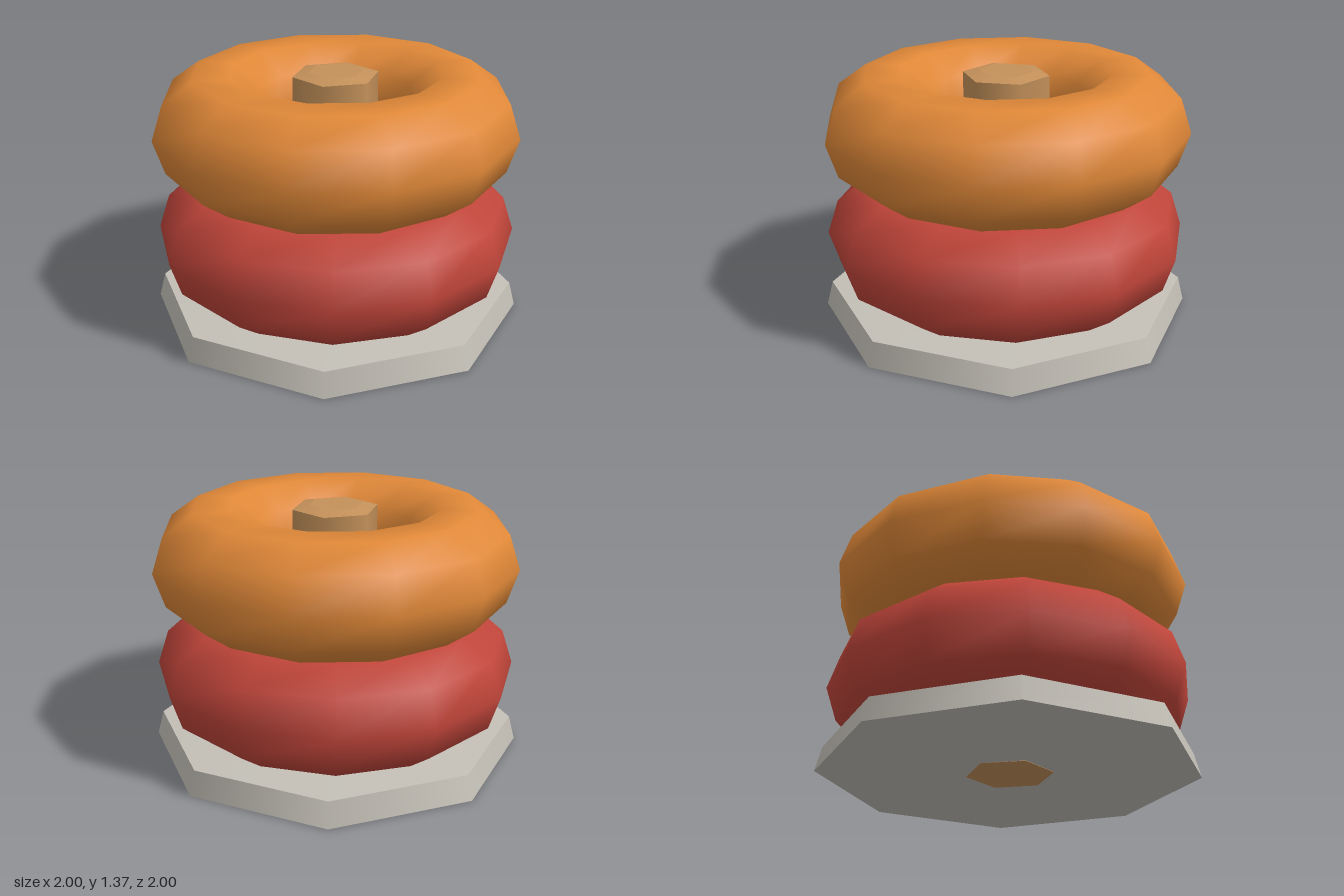
import * as THREE from 'three';

const material = (name, color) => {
  const m = new THREE.MeshStandardMaterial({ color });
  m.name = name;
  return m;
};

export function createModel() {
  const group = new THREE.Group();
  group.name = 'stackingRingToy';

  const grey = material('warm grey', 0xc4c0b7);
  const red = material('red', 0xc0453a);
  const orange = material('orange', 0xe08838);
  const wood = material('wood brown', 0xc4915a);

  const add = (name, geometry, mat, y, turn = 0) => {
    const mesh = new THREE.Mesh(geometry, mat);
    mesh.name = name;
    mesh.position.y = y;
    mesh.rotation.y = THREE.MathUtils.degToRad(turn);
    group.add(mesh);
  };

  // Eight-sided base plate with a slightly raised top
  add('basePlate', new THREE.CylinderGeometry(0.99, 1.025, 0.135, 8), grey, 0.0675, 12.9);
  add('baseTop', new THREE.CylinderGeometry(0.6, 0.99, 0.02, 8), grey, 0.145, 12.9);

  // Centre peg, passing through the base, with a shallow cap
  add('peg', new THREE.CylinderGeometry(0.235, 0.235, 1.352, 6), wood, 0.674);
  add('pegCap', new THREE.CylinderGeometry(0.15, 0.235, 0.018, 6), wood, 1.359);

  // Two chunky rings stacked over the peg
  const ring = (name, mat, y, turn) => {
    const geometry = new THREE.TorusGeometry(0.672, 0.318, 10, 12);
    geometry.rotateX(-Math.PI / 2);
    add(name, geometry, mat, y, turn);
  };
  ring('lowerRing', red, 0.458, 15);
  ring('upperRing', orange, 1.068, 2);

  return group;
}
